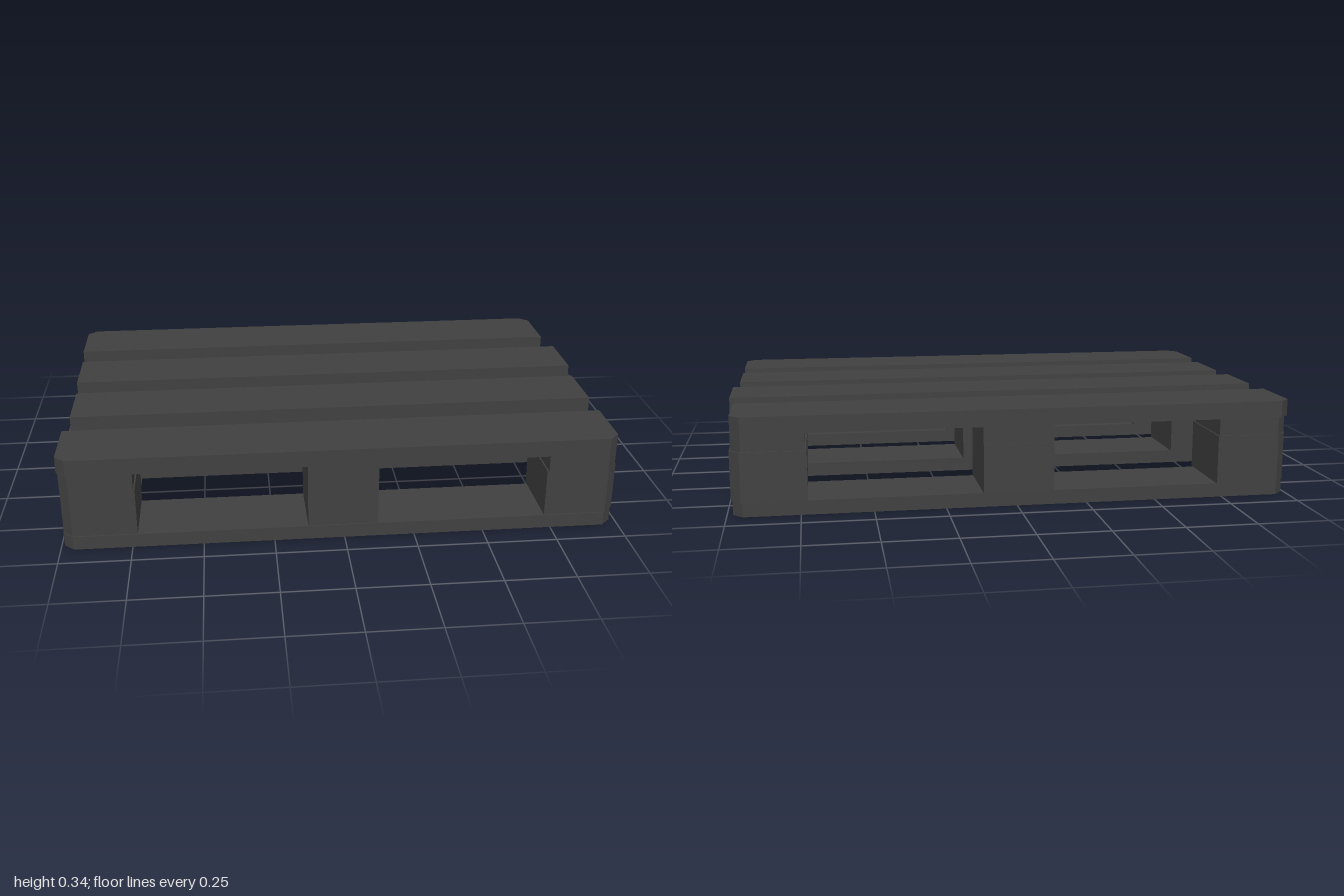
import * as THREE from 'three';

const material = new THREE.MeshStandardMaterial({ color: 0x404040, flatShading: true });

// Timber between the given limits; front / back and left / right tell which corners are cut off.
function timber(name, [x0, x1], [y0, y1], [z0, z1], cut = {}) {
  const c = 0.035;
  const corner = (x, z, dx, dz, side, end) =>
    cut[side] && cut[end] ? [[x + dx * c, z], [x, z + dz * c]] : [[x, z]];
  const points = [
    ...corner(x0, z0, 1, 1, 'right', 'back').reverse(),
    ...corner(x1, z0, -1, 1, 'left', 'back'),
    ...corner(x1, z1, -1, -1, 'left', 'front').reverse(),
    ...corner(x0, z1, 1, -1, 'right', 'front'),
  ];
  const shape = new THREE.Shape(points.map(([x, z]) => new THREE.Vector2(x, z)));
  const geometry = new THREE.ExtrudeGeometry(shape, { depth: y1 - y0, bevelEnabled: false });
  geometry.rotateX(Math.PI / 2).translate(0, y1, 0);
  const mesh = new THREE.Mesh(geometry, material);
  mesh.name = name;
  return mesh;
}

export function createModel() {
  const pallet = new THREE.Group();
  pallet.name = 'pallet';
  const both = { left: true, right: true };
  const front = { ...both, front: true };
  const back = { ...both, back: true };

  // Three runners on the ground
  const bottomY = [0, 0.05];
  pallet.add(
    timber('bottomBoardFront', [-0.99, 0.98], bottomY, [0.41, 0.66], front),
    timber('bottomBoardMiddle', [-0.99, 0.98], bottomY, [-0.12, 0.13]),
    timber('bottomBoardBack', [-0.99, 0.98], bottomY, [-0.655, -0.4], back),
  );

  // Nine spacer blocks, with the four outer corners cut
  const columns = [
    { name: 'Right', x: [-0.99, -0.73], cut: { right: true } },
    { name: 'Centre', x: [-0.13, 0.12], cut: {} },
    { name: 'Left', x: [0.725, 0.985], cut: { left: true } },
  ];
  const rows = [
    { name: 'Front', z: [0.395, 0.655], cut: { front: true } },
    { name: 'Middle', z: [-0.13, 0.14], cut: {} },
    { name: 'Back', z: [-0.66, -0.385], cut: { back: true } },
  ];
  for (const col of columns) {
    for (const row of rows) {
      pallet.add(timber('block' + row.name + col.name, col.x, [0.05, 0.225], row.z,
        { ...col.cut, ...row.cut }));
    }
  }

  // Cross boards running front to back over the blocks
  const crossX = [[-0.99, -0.735], [-0.13, 0.12], [0.73, 0.98]];
  columns.forEach((col, i) => {
    pallet.add(timber('crossBoard' + col.name, crossX[i], [0.225, 0.285], [-0.655, 0.66],
      { ...col.cut, front: true, back: true }));
  });

  // Four deck boards
  const deckY = [0.285, 0.345];
  pallet.add(
    timber('deckBoardFront', [-0.995, 0.98], deckY, [0.41, 0.66], front),
    timber('deckBoardInnerFront', [-0.98, 0.98], deckY, [0.06, 0.29]),
    timber('deckBoardInnerBack', [-0.99, 1], deckY, [-0.28, -0.05]),
    timber('deckBoardBack', [-1, 0.98], deckY, [-0.655, -0.4], back),
  );
  return pallet;
}
